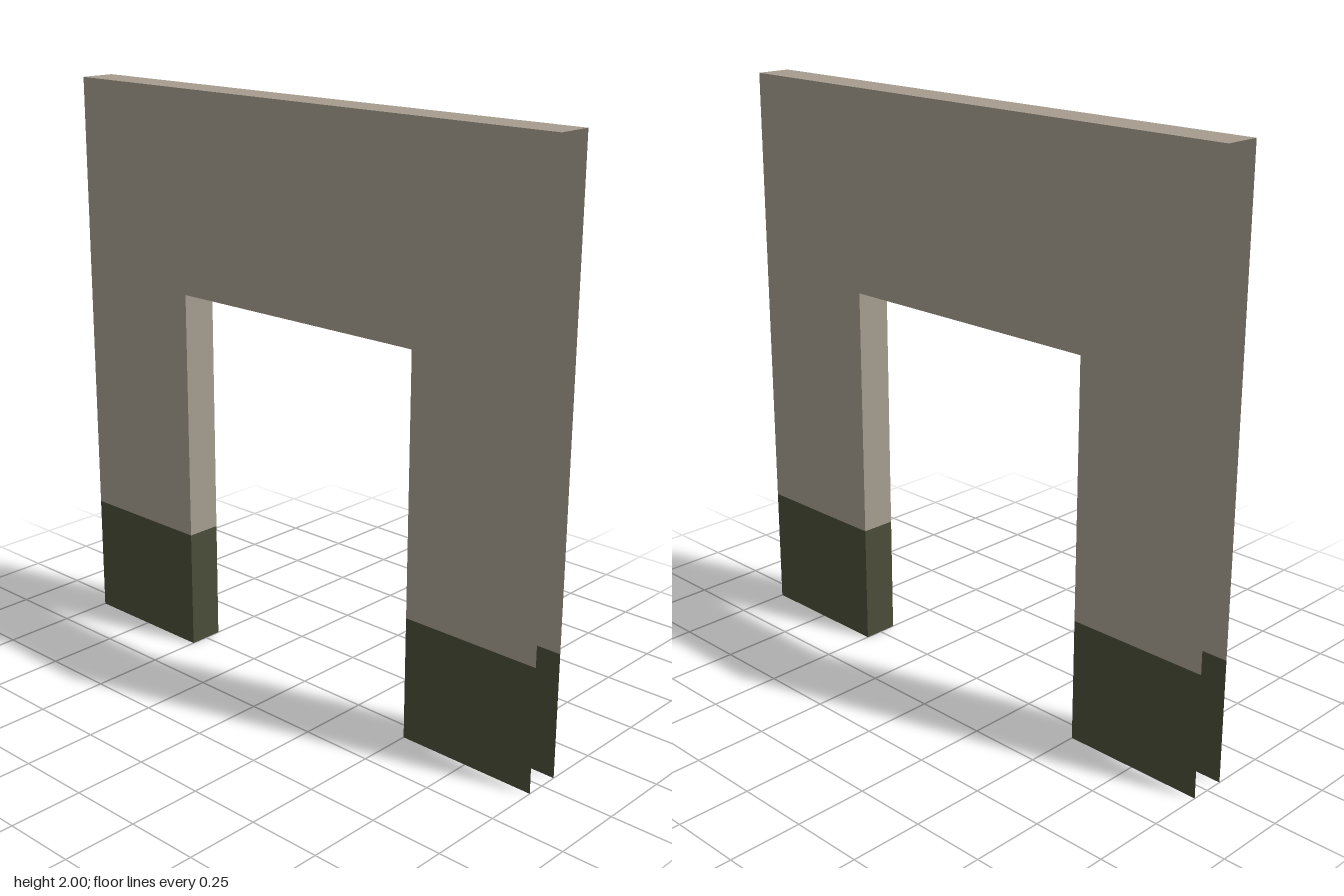
import * as THREE from 'three';

const W = 1, H = 2;               // half width and height of the wall
const OPEN_W = 0.5, OPEN_H = 1.305; // half width and height of the opening
const BASE = 0.423;               // height of the dark base band
const D = 0.0625;                 // half thickness

export function createModel() {
  const plaster = new THREE.MeshStandardMaterial({ color: 0xa69d8f, side: THREE.DoubleSide });
  plaster.name = 'warm grey plaster';
  const base = new THREE.MeshStandardMaterial({ color: 0x4b4d39, side: THREE.DoubleSide });
  base.name = 'dark olive base';

  const group = new THREE.Group();
  group.name = 'doorwayWall';

  function add(name, geometry, material, position, rotation = [0, 0, 0]) {
    const mesh = new THREE.Mesh(geometry, material);
    mesh.name = name;
    mesh.position.set(...position);
    mesh.rotation.set(...rotation);
    group.add(mesh);
  }

  // Upper wall outline: an arch shape standing on the base band
  const outline = new THREE.Shape([
    [-W, BASE], [-OPEN_W, BASE], [-OPEN_W, OPEN_H], [OPEN_W, OPEN_H],
    [OPEN_W, BASE], [W, BASE], [W, H], [-W, H],
  ].map(([x, y]) => new THREE.Vector2(x, y)));
  const wallFace = new THREE.ShapeGeometry(outline);
  const baseFace = new THREE.PlaneGeometry(W - OPEN_W, BASE);
  const legX = (W + OPEN_W) / 2;

  // Front and back faces with their base bands
  for (const [side, z, turn] of [['front', D, 0], ['back', -D, Math.PI]]) {
    add(side + 'Wall', wallFace, plaster, [0, 0, z], [0, turn, 0]);
    for (const s of [-1, 1]) {
      add(side + (s > 0 ? 'Left' : 'Right') + 'Base', baseFace, base,
        [s * legX, BASE / 2, z], [0, turn, 0]);
    }
  }

  // Jambs facing into the opening; outer ends and feet stay open
  for (const s of [-1, 1]) {
    const side = s > 0 ? 'left' : 'right';
    const turn = [0, -s * Math.PI / 2, 0];
    add(side + 'Jamb', new THREE.PlaneGeometry(2 * D, OPEN_H - BASE), plaster,
      [s * OPEN_W, (OPEN_H + BASE) / 2, 0], turn);
    add(side + 'JambBase', new THREE.PlaneGeometry(2 * D, BASE), base,
      [s * OPEN_W, BASE / 2, 0], turn);
  }

  // Underside of the lintel and top of the wall
  add('soffit', new THREE.PlaneGeometry(2 * OPEN_W, 2 * D), plaster, [0, OPEN_H, 0], [Math.PI / 2, 0, 0]);
  add('wallTop', new THREE.PlaneGeometry(2 * W, 2 * D), plaster, [0, H, 0], [-Math.PI / 2, 0, 0]);

  return group;
}
